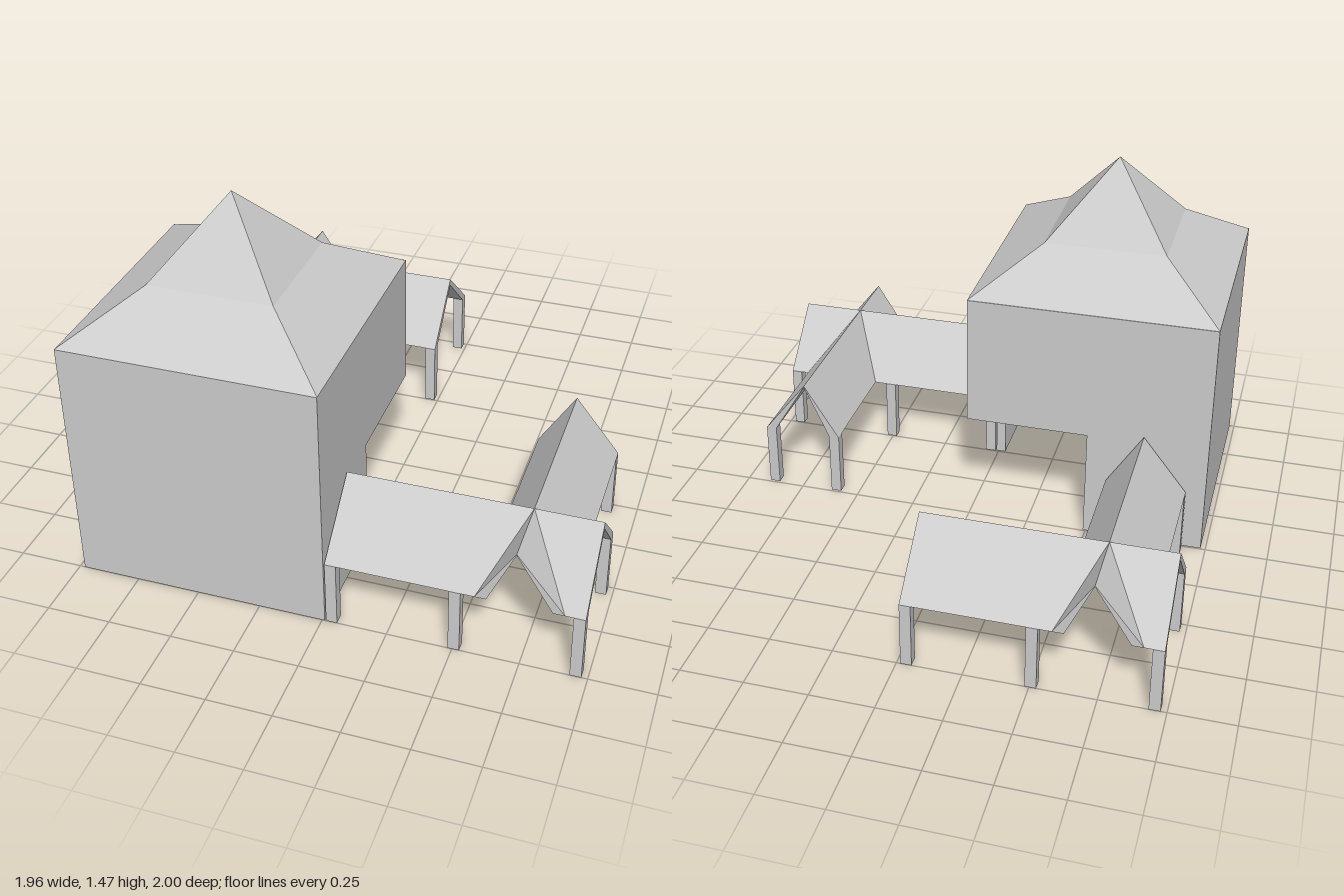
import * as THREE from 'three';

const mat = new THREE.MeshStandardMaterial({ color: 0xcccccc, flatShading: true, side: THREE.DoubleSide });
const WALL = 0.04, POST = 0.043, EAVE = 0.27, RIDGE = 0.5;

function add(parent, name, geometry) {
  const mesh = new THREE.Mesh(geometry, mat);
  mesh.name = name;
  parent.add(mesh);
  return mesh;
}

// Wall outline with its right-hand corner at u = 0; the notch leaves a corner opening
function wallGeometry(notched) {
  const pts = notched
    ? [[-0.99, 0], [-0.5, 0], [-0.5, 0.46], [0, 0.46], [0, 1], [-0.99, 1]]
    : [[-0.99, 0], [0, 0], [0, 1], [-0.99, 1]];
  const shape = new THREE.Shape(pts.map(p => new THREE.Vector2(...p)));
  return new THREE.ExtrudeGeometry(shape, { depth: WALL, bevelEnabled: false });
}

// Closed slab between four outer corners and the four matching inner corners
function slabGeometry(outer, inner) {
  const d1 = outer[2].clone().sub(outer[0]), d2 = outer[3].clone().sub(outer[1]);
  if (d1.cross(d2).y < 0) { outer = [...outer].reverse(); inner = [...inner].reverse(); }
  const verts = [];
  const quad = (a, b, c, d) => [a, b, c, a, c, d].forEach(p => verts.push(p.x, p.y, p.z));
  quad(...outer);
  quad(...[...inner].reverse());
  for (let i = 0; i < 4; i++) {
    const j = (i + 1) % 4;
    quad(outer[j], outer[i], inner[i], inner[j]);
  }
  const g = new THREE.BufferGeometry();
  g.setAttribute('position', new THREE.Float32BufferAttribute(verts, 3));
  g.computeVertexNormals();
  return g;
}

function createTower() {
  const tower = new THREE.Group();
  tower.name = 'tower';
  add(tower, 'frontWall', wallGeometry(false).translate(0.01, 0, 1 - WALL));
  add(tower, 'backWall', wallGeometry(true).translate(0.01, 0, 0.005));
  add(tower, 'sideWallOpen', wallGeometry(true).rotateY(Math.PI / 2).translate(0.01 - WALL, 0, 0.007));
  add(tower, 'sideWallClosed', wallGeometry(false).rotateY(Math.PI / 2).translate(-0.98, 0, 0.007));

  // Square roof that steepens halfway up
  const profile = [[0.495, 1], [0.245, 1.168], [0, 1.465]]
    .map(([half, y]) => new THREE.Vector2(half * Math.SQRT2, y));
  const roof = add(tower, 'towerRoof', new THREE.LatheGeometry(profile, 4, Math.PI / 4));
  roof.position.set(-0.485, 0, 0.502);
  return tower;
}

// Open walkway: two gabled roofs crossing near one end, carried on posts
function createWalkway() {
  const walkway = new THREE.Group();
  walkway.name = 'walkway';
  const V = (x, y, z) => new THREE.Vector3(x, y, z);
  const xMin = 0.015, xMax = 0.977, zMin = 0.01, zMax = 1;
  const cx = 0.722, cz = 0.738;                 // where the ridges cross
  const xs = [0.577, 0.903], zs = [0.503, 1];   // eaves of the two roofs
  const inset = (pair, i) => pair[i] + (i ? -POST : POST);
  const top = V(cx, RIDGE, cz), under = V(cx, RIDGE - 0.005, cz);

  for (let i = 0; i < 2; i++) for (let j = 0; j < 2; j++) {
    const xi = inset(xs, i), zj = inset(zs, j);
    const corner = V(xs[i], EAVE, zs[j]), innerCorner = V(xi, EAVE, zj);
    // Slope of the long roof
    const xe = i ? xMax : xMin;
    add(walkway, 'longRoofSlope', slabGeometry(
      [V(xe, EAVE, zs[j]), corner, top, V(xe, RIDGE, cz)],
      [V(xe, EAVE, zj), innerCorner, under, V(xe, RIDGE - 0.03, cz)]));
    // Slope of the cross roof
    const ze = j ? zMax : zMin;
    add(walkway, 'crossRoofSlope', slabGeometry(
      [V(xs[i], EAVE, ze), corner, top, V(cx, RIDGE, ze)],
      [V(xi, EAVE, ze), innerCorner, under, V(cx, RIDGE - 0.005, ze)]));
  }

  // Posts: three pairs under the long roof, one pair at the end of the cross roof
  const h = POST / 2;
  const spots = [];
  for (const x of [xMin + h, 0.505, xMax - h]) for (const z of [zs[0] + h, zs[1] - h]) spots.push([x, z]);
  for (const x of [xs[0] + h, xs[1] - h]) spots.push([x, zMin + h]);
  for (const [x, z] of spots) {
    add(walkway, 'post', new THREE.BoxGeometry(POST, EAVE, POST)).position.set(x, EAVE / 2, z);
  }
  return walkway;
}

export function createModel() {
  const model = new THREE.Group();
  model.name = 'towerWithWalkways';
  model.add(createTower());
  const front = createWalkway();
  front.name = 'frontWalkway';
  const back = createWalkway();
  back.name = 'backWalkway';
  back.rotation.y = Math.PI;
  model.add(front, back);
  return model;
}
